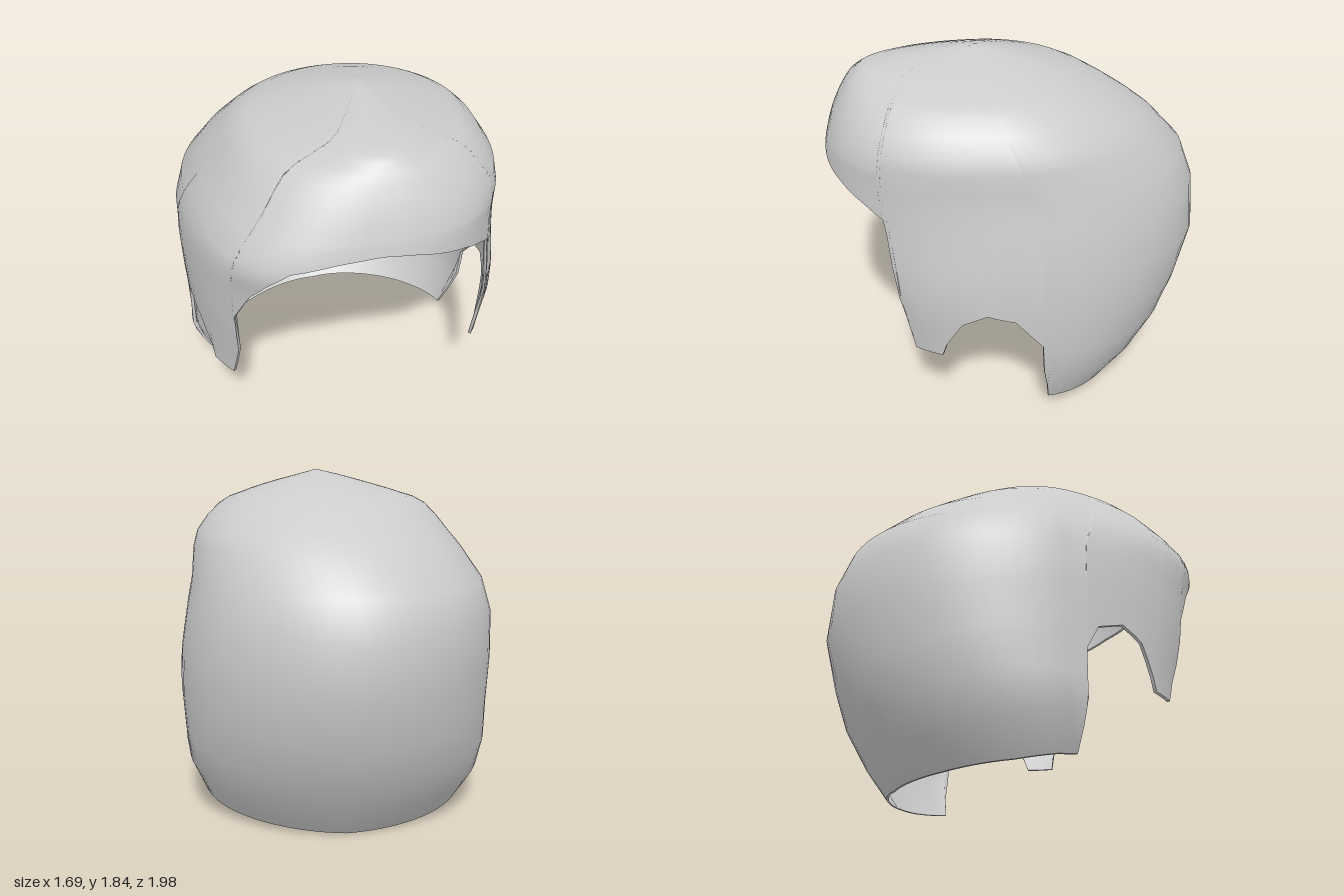
import * as THREE from 'three';

// Horizontal sections, crown to nape: y, centre z, front z, back z, half width, centre x,
// then the roundness powers of the left front, right front and back
const SECTIONS = [
  [1.84, 0.20, 0.20, 0.20, 0.00, 0.08, 2.0, 2.0, 2.0],
  [1.81, 0.20, 0.48, 0.05, 0.12, 0.07, 2.0, 2.0, 2.0],
  [1.77, 0.20, 0.75, -0.11, 0.27, 0.07, 2.0, 2.0, 2.0],
  [1.72, 0.18, 0.82, -0.25, 0.43, 0.06, 2.1, 2.1, 2.0],
  [1.66, 0.15, 0.87, -0.40, 0.57, 0.05, 2.3, 2.3, 2.0],
  [1.50, 0.08, 0.95, -0.66, 0.70, 0.05, 2.5, 2.7, 1.95],
  [1.30, 0.00, 1.00, -0.88, 0.78, -0.01, 2.5, 2.9, 1.95],
  [1.10, -0.05, 0.99, -0.98, 0.825, -0.02, 2.45, 2.5, 1.95],
  [0.80, -0.05, 0.94, -1.00, 0.845, 0.00, 2.5, 2.5, 1.95],
  [0.50, -0.05, 0.85, -0.91, 0.83, 0.00, 2.5, 2.5, 1.95],
  [0.28, -0.05, 0.82, -0.82, 0.82, -0.01, 2.5, 2.5, 1.9],
  [0.05, -0.05, 0.80, -0.65, 0.71, 0.00, 2.5, 2.5, 1.8],
  [0.00, -0.05, 0.80, -0.61, 0.68, 0.00, 2.5, 2.5, 1.8],
];

// Rim points [z, y] from brow to nape: brow and temple, sideburn, ear notch, nape
const EAR = [[0.59, 0.43], [0.46, 0.43], [0.44, 0.50], [0.36, 0.65], [0.24, 0.71], [0.10, 0.67]];
const LEFT_RIM = [[0.985, 1.355], [0.90, 1.29], [0.80, 1.23], [0.69, 1.16], [0.66, 0.90], [0.64, 0.70],
  ...EAR, [0.01, 0.56], [-0.04, 0.50], [-0.05, 0.33], [-0.09, 0.09], [-0.30, 0.06], [-0.50, 0.035]];
const RIGHT_RIM = [[0.985, 1.355], [0.95, 1.31], [0.90, 1.22], [0.82, 1.11], [0.71, 0.90], [0.67, 0.65],
  ...EAR, [0.035, 0.55], [0.03, 0.30], [0.025, 0.07], [-0.25, 0.035], [-0.50, 0.015]];
const CROWN_ROWS = 12, ROWS = 19;

// Smoothly interpolated section at u (0 crown, SECTIONS.length - 1 nape)
function sectionAt(u) {
  const last = SECTIONS.length - 1;
  const i = Math.min(Math.floor(u), last - 1), t = u - i;
  const at = k => SECTIONS[Math.max(0, Math.min(last, k))];
  return at(i).map((b, k) => {
    const a = at(i - 1)[k], c = at(i + 1)[k], d = at(i + 2)[k];
    return b + 0.5 * t * (c - a + t * (2 * a - 5 * b + 4 * c - d + t * (3 * (b - c) + d - a)));
  });
}

function heightToU(y) {
  let lo = 0, hi = SECTIONS.length - 1;
  for (let i = 0; i < 30; i++) {
    const mid = (lo + hi) / 2;
    if (sectionAt(mid)[0] > y) lo = mid; else hi = mid;
  }
  return lo;
}

// Point on the rounded section at angle theta from the front
function surfacePoint(u, theta) {
  const [y, zc, zf, zb, w, xc, leftPower, rightPower, backPower] = sectionAt(u);
  const c = Math.cos(theta), s = Math.sin(theta);
  const e = 2 / (c < 0 ? backPower : s >= 0 ? leftPower : rightPower);
  const x = xc + w * Math.sign(s) * Math.abs(s) ** e;
  const z = zc + (c >= 0 ? zf - zc : zb - zc) * Math.abs(c) ** e;
  return new THREE.Vector3(x, y, z);
}

function rimAngle([z, y], isLeft) {
  const [, zc, zf, zb, , , leftPower, rightPower, backPower] = sectionAt(heightToU(y));
  if (z < zc) return Math.acos(-(((z - zc) / (zb - zc)) ** (backPower / 2)));
  return Math.acos(Math.min(1, (z - zc) / (zf - zc)) ** ((isLeft ? leftPower : rightPower) / 2));
}

// Closed list of [theta, y] around the rim, subdivided evenly
function rimColumns() {
  const half = (pts, isLeft) => pts.map(p => [rimAngle(p, isLeft), p[1]]);
  const loop = [
    [0, 1.37], ...half(LEFT_RIM, true), [Math.PI, 0.005],
    ...half(RIGHT_RIM, false).reverse().map(([a, y]) => [2 * Math.PI - a, y]), [2 * Math.PI, 1.37],
  ];
  const columns = [];
  for (let i = 0; i < loop.length - 1; i++) {
    const [a0, y0] = loop[i], [a1, y1] = loop[i + 1];
    const n = Math.max(1, Math.ceil(Math.abs(a1 - a0) / 0.09), Math.ceil(Math.abs(y1 - y0) / 0.15));
    for (let k = 0; k < n; k++) columns.push([a0 + (a1 - a0) * k / n, y0 + (y1 - y0) * k / n]);
  }
  return columns;
}

function geometryFrom(points, index) {
  const g = new THREE.BufferGeometry().setFromPoints(points);
  g.setIndex(index);
  g.computeVertexNormals();
  return g;
}

// Shell from a shared crown point: level rows over the crown, then rows spreading to the rim
function shellGeometry(columns, place, flip) {
  const points = [place(surfacePoint(0, 0), 0)], index = [];
  const tri = (a, b, c) => (flip ? index.push(a, c, b) : index.push(a, b, c));
  const id = (i, j) => (j === 0 ? 0 : 1 + (i % columns.length) * ROWS + j - 1);
  const uCrown = heightToU(1.43);
  columns.forEach(([theta, y], i) => {
    const uEnd = heightToU(y);
    for (let j = 1; j <= ROWS; j++) {
      const u = j <= CROWN_ROWS
        ? uCrown * j / CROWN_ROWS
        : uCrown + (uEnd - uCrown) * (j - CROWN_ROWS) / (ROWS - CROWN_ROWS);
      points.push(place(surfacePoint(u, theta), u / uEnd));
    }
    for (let j = 0; j < ROWS; j++) {
      tri(id(i, j), id(i, j + 1), id(i + 1, j + 1));
      if (j > 0) tri(id(i, j), id(i + 1, j + 1), id(i + 1, j));
    }
  });
  return geometryFrom(points, index);
}

// Narrow band joining the outer and inner edges
function rimGeometry(columns, inset) {
  const points = [], index = [], n = columns.length;
  columns.forEach(([theta, y], i) => {
    const p = surfacePoint(heightToU(y), theta);
    points.push(p, inset(p.clone(), 1));
    const a = 2 * i, b = 2 * ((i + 1) % n);
    index.push(a, a + 1, b, b, a + 1, b + 1);
  });
  return geometryFrom(points, index);
}

export function createModel() {
  const group = new THREE.Group();
  group.name = 'hairCap';
  const material = new THREE.MeshStandardMaterial({ color: 0xcccccc, side: THREE.DoubleSide });
  const columns = rimColumns();
  const inset = (p, t) => p.set(p.x * 0.98, p.y - 0.025 * (1 - t), p.z * 0.982);
  const add = (name, geometry) => {
    const mesh = new THREE.Mesh(geometry, material);
    mesh.name = name;
    group.add(mesh);
  };
  add('outerShell', shellGeometry(columns, p => p, false));
  add('innerLining', shellGeometry(columns, inset, true));
  add('rimEdge', rimGeometry(columns, inset));
  return group;
}
